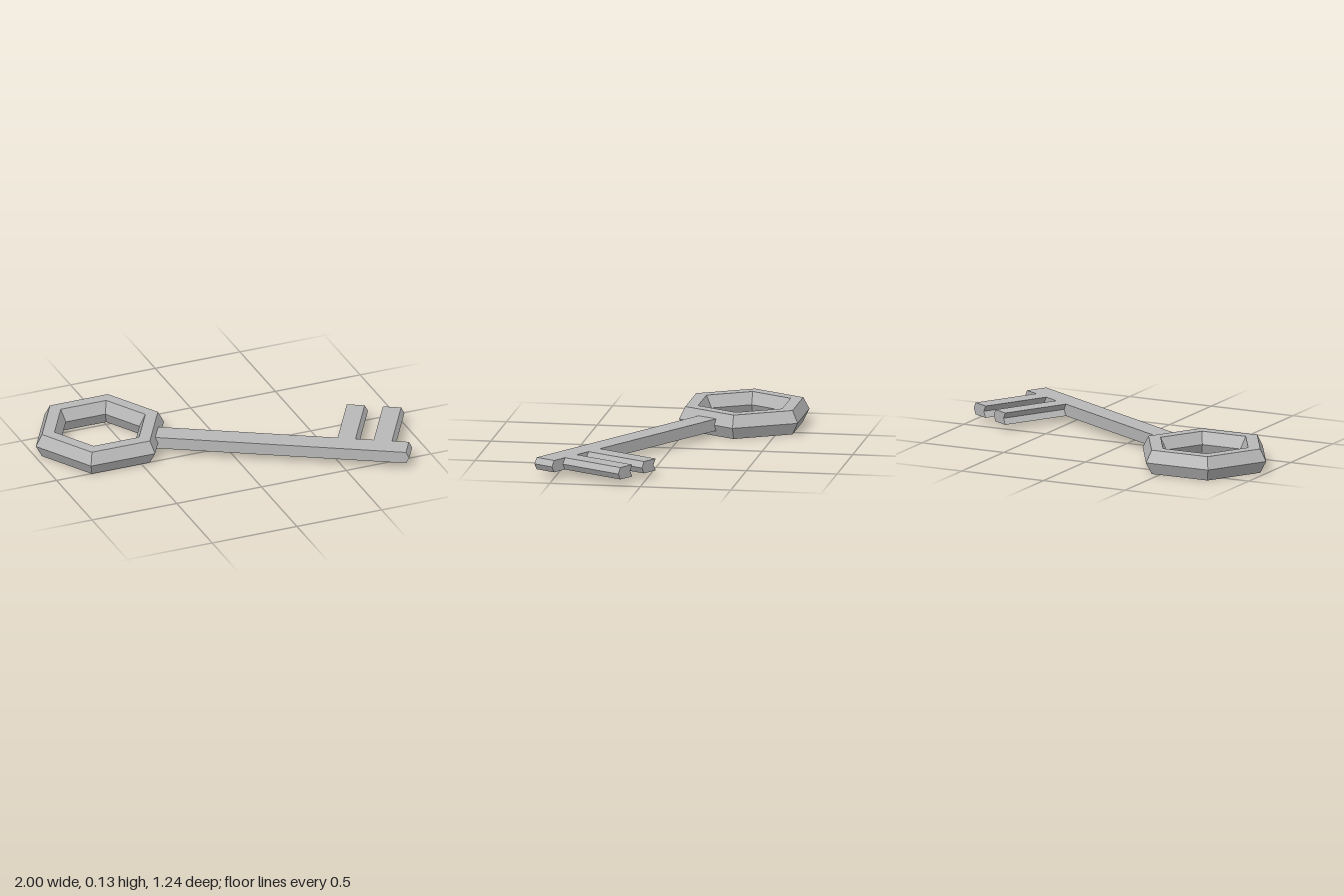
import * as THREE from 'three';

const SHAFT_ANGLE = -Math.PI / 6; // shaft direction in plan
const MID_Y = 0.0665;

// Hexagonal bow with a six-sided cross-section
function makeBow(material) {
  const profile = [
    [0.342, 0], [0.378, MID_Y], [0.342, 0.133],
    [0.268, 0.133], [0.233, MID_Y], [0.268, 0], [0.342, 0],
  ].map(([r, y]) => new THREE.Vector2(r, y));
  const bow = new THREE.Mesh(new THREE.LatheGeometry(profile, 6, Math.PI / 2), material);
  bow.name = 'bow';
  bow.position.set(-0.622, 0, -0.293);
  return bow;
}

// Shaft and two bits as one plate, its middle layer pushed towards the tip
function makeBlade(material) {
  const thickness = 0.066, push = 0.018;
  const outline = [
    [-0.41, -0.121], [1.003, -0.121], [1.003, 0.003],
    [0.91, 0.003], [0.91, 0.396], [0.81, 0.396], [0.81, 0.003],
    [0.71, 0.003], [0.71, 0.396], [0.612, 0.396], [0.612, 0.003],
    [-0.41, 0.003],
  ].map(([u, v]) => new THREE.Vector2(u, v));
  const geometry = new THREE.ExtrudeGeometry(new THREE.Shape(outline), {
    depth: thickness, steps: 2, bevelEnabled: false,
  });
  const p = geometry.attributes.position;
  for (let i = 0; i < p.count; i++) {
    if (Math.abs(p.getZ(i) - thickness / 2) < 0.001) p.setX(i, p.getX(i) + push);
  }
  geometry.rotateX(-Math.PI / 2);
  geometry.rotateY(SHAFT_ANGLE);
  geometry.translate(0, MID_Y - thickness / 2, 0);
  geometry.computeVertexNormals();
  const blade = new THREE.Mesh(geometry, material);
  blade.name = 'shaftAndBits';
  return blade;
}

export function createModel() {
  const metal = new THREE.MeshStandardMaterial({ color: 0xb8b8b8, flatShading: true });
  metal.name = 'grey metal';
  const key = new THREE.Group();
  key.name = 'key';
  key.add(makeBow(metal), makeBlade(metal));
  return key;
}
